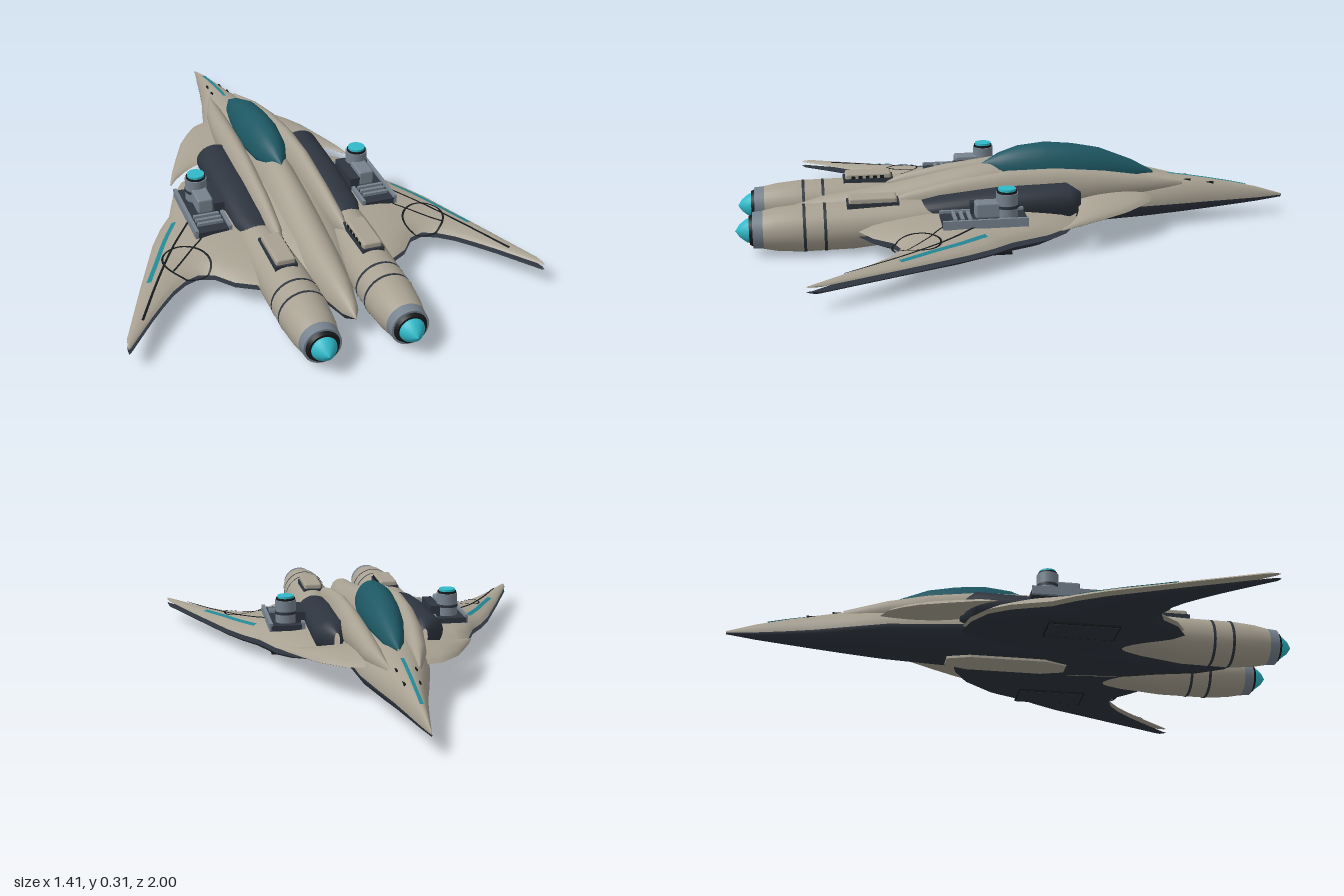
import * as THREE from 'three';
import { mergeVertices } from 'three/addons/utils/BufferGeometryUtils.js';
import { RoundedBoxGeometry } from 'three/addons/geometries/RoundedBoxGeometry.js';

const paint = (name, color, side = THREE.FrontSide) => {
  const m = new THREE.MeshStandardMaterial({ color, side });
  m.name = name;
  return m;
};

// Surface from a rule: fn(row, column) gives a point
function grid(rows, cols, fn) {
  const pos = [], idx = [];
  for (let i = 0; i < rows; i++) for (let j = 0; j < cols; j++) pos.push(...fn(i, j));
  for (let i = 0; i < rows - 1; i++) for (let j = 0; j < cols - 1; j++) {
    const a = i * cols + j, b = a + 1, c = a + cols, d = c + 1;
    idx.push(a, b, c, b, d, c);
  }
  let g = new THREE.BufferGeometry();
  g.setAttribute('position', new THREE.Float32BufferAttribute(pos, 3));
  g.setIndex(idx);
  g = mergeVertices(g, 1e-5);
  g.computeVertexNormals();
  return g;
}

// Loft along z; each section is [z, centre x, half width, bottom, widest height, top]
function loft(sections, from = -0.5, to = 1.5, n = 28) {
  return grid(sections.length, n + 1, (i, j) => {
    const [z, cx, w, yb, ye, yt] = sections[i];
    const a = Math.PI * (from + (to - from) * j / n), s = Math.sin(a);
    return [cx + w * Math.cos(a), ye + s * (s > 0 ? yt - ye : ye - yb), z];
  });
}

// Wing skin; each station is [x, front z, back z, edge height, bulge]
const bulge = t => Math.pow(Math.max(0, Math.sin(Math.PI * t)), 0.6);
const skin = (st, up, n = 16) => grid(st.length, n + 1, (i, j) => {
  const [x, zf, zb, y, h] = st[i], t = up > 0 ? j / n : 1 - j / n;
  return [x, y + up * h * bulge(t), zf + (zb - zf) * t];
});

function mirrored(geo) {
  const g = geo.clone().scale(-1, 1, 1);
  const old = g.index ? [...g.index.array] : [...Array(g.attributes.position.count).keys()];
  for (let i = 0; i < old.length; i += 3) [old[i], old[i + 1]] = [old[i + 1], old[i]];
  g.setIndex(old);
  return g;
}

export function createModel() {
  const hull = paint('warm grey hull', 0xa8a192, THREE.DoubleSide);
  const dark = paint('dark navy', 0x2e353f, THREE.DoubleSide);
  const glass = paint('teal glass', 0x1d5763);
  const metal = paint('blue grey metal', 0x76828e);
  const glow = paint('cyan glow', 0x2fb9c9);
  const line = paint('black trim', 0x15181b, THREE.DoubleSide);
  const stripe = paint('teal stripe', 0x238794, THREE.DoubleSide);

  const root = new THREE.Group();
  root.name = 'starfighter';
  const add = (name, geo, mat) => {
    const m = new THREE.Mesh(geo, mat);
    m.name = name;
    root.add(m);
  };
  const pair = (name, geo, mat) => {
    add(name + 'Left', geo, mat);
    add(name + 'Right', mirrored(geo), mat);
  };
  const box = (w, h, d, x, y, z) => new THREE.BoxGeometry(w, h, d).translate(x, y, z);
  const tubeZ = (r0, r1, z0, z1, open = false) => // r0 at z0, r1 at z1
    new THREE.CylinderGeometry(r1, r0, z1 - z0, 28, 1, open).rotateX(Math.PI / 2).translate(0.145, 0.085, (z0 + z1) / 2);

  // Nose and main body, light above and dark below
  const body = [
    [-1, 0, 0.001, 0.064, 0.07, 0.076], [-0.9, 0, 0.018, 0.052, 0.07, 0.108],
    [-0.8, 0, 0.036, 0.044, 0.073, 0.132], [-0.7, 0, 0.056, 0.037, 0.077, 0.152],
    [-0.6, 0, 0.082, 0.032, 0.082, 0.17], [-0.45, 0, 0.118, 0.026, 0.09, 0.188],
    [-0.3, 0, 0.13, 0.02, 0.095, 0.192], [-0.1, 0, 0.15, 0.016, 0.1, 0.19],
    [0.2, 0, 0.16, 0.015, 0.095, 0.18], [0.45, 0, 0.12, 0.018, 0.08, 0.15], [0.62, 0, 0.07, 0.035, 0.07, 0.11]];
  add('upperBody', loft(body, 0, 1), hull);
  add('lowerBody', loft(body, 1, 2), dark);

  // Central spine running back to a pointed tail
  const spine = [
    [-0.52, 0, 0.02, 0.1, 0.14, 0.17], [-0.3, 0, 0.062, 0.04, 0.13, 0.22], [-0.1, 0, 0.07, 0.03, 0.12, 0.24],
    [0.1, 0, 0.072, 0.022, 0.11, 0.25], [0.25, 0, 0.074, 0.02, 0.1, 0.225], [0.4, 0, 0.074, 0.018, 0.085, 0.195],
    [0.55, 0, 0.068, 0.022, 0.075, 0.17], [0.7, 0, 0.05, 0.035, 0.075, 0.15], [0.8, 0, 0.027, 0.055, 0.08, 0.122],
    [0.85, 0, 0.001, 0.087, 0.088, 0.089]];
  add('spine', loft(spine, 0, 1), hull);
  add('keel', loft(spine, 1, 2), dark);

  // Canopy
  add('canopy', loft([
    [-0.5, 0, 0.004, 0.18, 0.185, 0.19], [-0.42, 0, 0.035, 0.17, 0.19, 0.235], [-0.3, 0, 0.058, 0.17, 0.21, 0.284],
    [-0.2, 0, 0.067, 0.17, 0.215, 0.304], [-0.1, 0, 0.07, 0.17, 0.22, 0.314], [0, 0, 0.06, 0.18, 0.225, 0.304],
    [0.07, 0, 0.038, 0.2, 0.23, 0.281], [0.13, 0, 0.003, 0.235, 0.24, 0.246]]), glass);

  // Long shoulder fairings beside the canopy, with dark slabs outside them
  pair('shoulder', loft([
    [-0.6, 0.05, 0.004, 0.13, 0.145, 0.16], [-0.45, 0.075, 0.03, 0.12, 0.16, 0.195], [-0.3, 0.09, 0.038, 0.11, 0.17, 0.222],
    [-0.12, 0.1, 0.04, 0.1, 0.17, 0.242], [0.05, 0.105, 0.036, 0.1, 0.17, 0.243], [0.25, 0.108, 0.03, 0.1, 0.16, 0.218],
    [0.4, 0.112, 0.022, 0.1, 0.15, 0.188], [0.47, 0.115, 0.003, 0.14, 0.15, 0.16]]), hull);
  pair('sideSlab', loft([
    [-0.2, 0.155, 0.01, 0.1, 0.14, 0.17], [-0.15, 0.165, 0.066, 0.08, 0.15, 0.205], [0.1, 0.165, 0.066, 0.08, 0.15, 0.2],
    [0.3, 0.165, 0.06, 0.08, 0.14, 0.18], [0.44, 0.155, 0.03, 0.08, 0.12, 0.15]]), dark);

  // Wings: light upper blade over a dark lower blade
  const wing = [
    [0.1, -0.2, 0.6, 0.09, 0.05], [0.22, -0.17, 0.59, 0.088, 0.052], [0.3, -0.12, 0.54, 0.085, 0.05],
    [0.35, -0.05, 0.475, 0.082, 0.046], [0.4, 0.08, 0.455, 0.08, 0.038], [0.45, 0.15, 0.475, 0.08, 0.03],
    [0.5, 0.24, 0.515, 0.08, 0.024], [0.55, 0.355, 0.57, 0.08, 0.018], [0.6, 0.47, 0.63, 0.08, 0.014],
    [0.65, 0.59, 0.695, 0.08, 0.011], [0.7, 0.71, 0.76, 0.08, 0.008], [0.707, 0.745, 0.767, 0.082, 0.002]];
  const thin = (st, h) => st.map(s => [s[0], s[1], s[2], s[3], h]);
  const lower = wing.map(([x, f, b, y, h]) => [x, f, b, y - 0.018, Math.min(0.042, h * 0.8)]);
  pair('wingTop', skin(wing, 1), hull);
  pair('wingTopUnderside', skin(thin(wing, 0.003), -1), hull);
  pair('wingBottom', skin(lower, -1), dark);
  pair('wingBottomUpperSide', skin(thin(lower, 0.003), 1), dark);

  // Forward winglets
  const winglet = [
    [0.09, -0.48, -0.18, 0.125, 0.028], [0.16, -0.45, -0.19, 0.12, 0.026], [0.2, -0.405, -0.185, 0.117, 0.024],
    [0.24, -0.35, -0.172, 0.112, 0.02], [0.28, -0.265, -0.152, 0.106, 0.015], [0.32, -0.175, -0.122, 0.1, 0.01],
    [0.346, -0.105, -0.092, 0.095, 0.002]];
  pair('wingletTop', skin(winglet, 1), hull);
  pair('wingletBottom', skin(winglet.map(s => [...s.slice(0, 4), s[4] * 0.5]), -1), hull);

  // Thin painted lines laid on the wing skin
  const wingY = (x, z) => {
    let i = 0;
    while (i < wing.length - 2 && wing[i + 1][0] < x) i++;
    const a = wing[i], k = (x - a[0]) / (wing[i + 1][0] - a[0]);
    const s = a.map((v, n) => v + (wing[i + 1][n] - v) * k);
    return s[3] + s[4] * bulge(THREE.MathUtils.clamp((z - s[1]) / (s[2] - s[1]), 0, 1));
  };
  const ribbon = (pts, width, closed = false) => {
    const c = new THREE.CatmullRomCurve3(pts.map(p => new THREE.Vector3(p[0], 0, p[1])), closed), n = 40;
    return grid(n + 1, 2, (i, j) => {
      const p = c.getPoint(i / n), t = c.getTangent(i / n), o = (j - 0.5) * width;
      const x = p.x + t.z * o, z = p.z - t.x * o;
      return [x, wingY(x, z) + 0.004, z];
    });
  };
  const oval = [...Array(12).keys()].map(i => {
    const a = i * Math.PI / 6, u = 0.07 * Math.cos(a), v = 0.095 * Math.sin(a);
    return [0.425 + u * 0.85 - v * 0.5, 0.405 + u * 0.5 + v * 0.75];
  });
  pair('wingOval', ribbon(oval, 0.007, true), line);
  pair('wingSeam', ribbon([[0.36, 0.2], [0.45, 0.32], [0.54, 0.47], [0.635, 0.65]], 0.008), line);
  pair('wingInnerSeam', ribbon([[0.34, 0.2], [0.34, 0.3], [0.4, 0.36], [0.48, 0.44]], 0.006), line);
  pair('wingStripe', ribbon([[0.405, 0.17], [0.46, 0.26], [0.52, 0.375], [0.57, 0.47]], 0.016), stripe);

  // Nose stripe and small slots
  const noseTop = z => {
    let i = 0;
    while (body[i + 1][0] < z) i++;
    return THREE.MathUtils.mapLinear(z, body[i][0], body[i + 1][0], body[i][5], body[i + 1][5]);
  };
  add('noseStripe', grid(12, 2, (i, j) => {
    const z = -0.86 + i * 0.3 / 11;
    return [(0.5 - j) * 0.012, noseTop(z) + 0.002, z];
  }), stripe);
  for (const [x, z, y] of [[0.025, -0.71, 0.139], [0.032, -0.62, 0.156]])
    pair('noseSlot', box(0.006, 0.008, 0.035, x, y, z), line);

  // Engines
  pair('nacelle', loft([
    [0.16, 0.15, 0.02, 0.08, 0.11, 0.14], [0.3, 0.165, 0.06, 0.05, 0.105, 0.165], [0.45, 0.155, 0.077, 0.022, 0.092, 0.17],
    [0.6, 0.147, 0.082, 0.005, 0.086, 0.168], [0.78, 0.145, 0.082, 0.003, 0.085, 0.167],
    [0.86, 0.145, 0.075, 0.01, 0.085, 0.16], [0.905, 0.145, 0.066, 0.019, 0.085, 0.151]]), hull);
  for (const z of [0.69, 0.76]) pair('nacelleBand', tubeZ(0.0835, 0.0835, z, z + 0.01, true), dark);
  pair('nozzleCollar', tubeZ(0.066, 0.063, 0.9, 0.94), metal);
  pair('nozzleRim', tubeZ(0.056, 0.05, 0.94, 0.952), line);
  pair('thrusterGlow', new THREE.LatheGeometry([[0.043, 0.95], [0.04, 0.962], [0.022, 0.985], [0, 1]]
    .map(p => new THREE.Vector2(...p)), 24).rotateX(Math.PI / 2).translate(0.145, 0.085, 0), glow);

  // Raised hatches with vents on the engines
  pair('engineHatch', new RoundedBoxGeometry(0.066, 0.035, 0.165, 2, 0.008).translate(0.15, 0.174, 0.53), hull);
  pair('hatchBase', box(0.076, 0.03, 0.18, 0.15, 0.158, 0.53), dark);
  for (let i = 0; i < 5; i++) pair('hatchVent', box(0.004, 0.012, 0.014, 0.116, 0.177, 0.48 + i * 0.026), line);

  // Turrets on their wing mounts
  const drum = (r, y0, y1) => new THREE.CylinderGeometry(r, r, y1 - y0, 24).translate(0.3, (y0 + y1) / 2, 0.085);
  pair('mountPlate', box(0.12, 0.02, 0.29, 0.3, 0.134, 0.165), dark);
  for (const x of [0.243, 0.36]) pair('mountRail', box(0.012, 0.03, 0.29, x, 0.138, 0.165), metal);
  pair('turretDrum', drum(0.038, 0.13, 0.226), metal);
  pair('turretBand', drum(0.04, 0.175, 0.185), dark);
  pair('turretRim', drum(0.034, 0.226, 0.233), line);
  pair('turretLens', drum(0.03, 0.23, 0.241), glow);
  pair('turretHousing', new RoundedBoxGeometry(0.055, 0.055, 0.09, 2, 0.008).translate(0.297, 0.17, 0.15), metal);
  pair('turretMotor', box(0.035, 0.05, 0.15, 0.25, 0.158, 0.13), dark);
  for (let i = 0; i < 3; i++) pair('mountBar', box(0.09, 0.016, 0.011, 0.302, 0.146, 0.215 + i * 0.025), metal);

  // Belly plate and wing underside panels
  const plate = new THREE.Shape([[-0.03, -0.23], [0.03, -0.23], [0.055, -0.15], [0.055, 0.12], [0.03, 0.2],
    [-0.03, 0.2], [-0.055, 0.12], [-0.055, -0.15]].map(p => new THREE.Vector2(...p)));
  add('bellyPlate', new THREE.ExtrudeGeometry(plate, { depth: 0.009, bevelEnabled: false })
    .rotateX(Math.PI / 2).translate(0, 0.021, 0), hull);
  pair('underPanelEdge', box(0.11, 0.008, 0.25, 0.3, 0.026, 0.2), line);
  pair('underPanel', box(0.1, 0.009, 0.24, 0.3, 0.025, 0.2), dark);

  return root;
}
